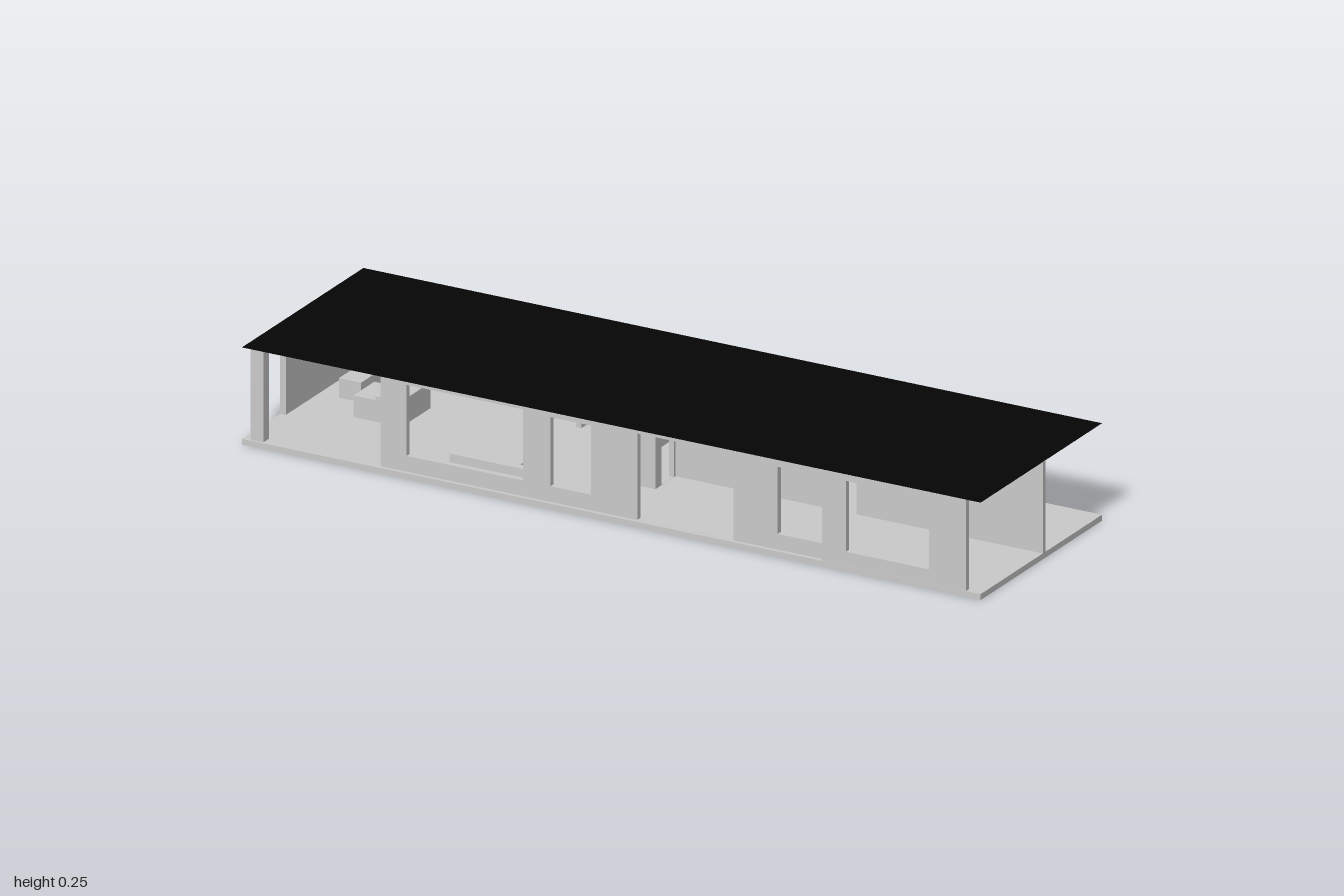
import * as THREE from 'three';

const FLOOR = 0.015, TOP = 0.247;
const grey = new THREE.MeshStandardMaterial({ color: 0xcccccc, flatShading: true });
const greyThin = new THREE.MeshStandardMaterial({ color: 0xcccccc, side: THREE.DoubleSide });
const black = new THREE.MeshStandardMaterial({ color: 0x050505 });

export function createModel() {
  const house = new THREE.Group();
  house.name = 'house';

  const add = (name, geometry, material = grey) => {
    const mesh = new THREE.Mesh(geometry, material);
    mesh.name = name;
    house.add(mesh);
    return mesh;
  };

  // Box given by its limits on each axis
  const box = (name, x0, x1, y0, y1, z0, z1) =>
    add(name, new THREE.BoxGeometry(x1 - x0, y1 - y0, z1 - z0))
      .position.set((x0 + x1) / 2, (y0 + y1) / 2, (z0 + z1) / 2);

  const rect = (path, x0, x1, y0, y1) =>
    path.moveTo(x0, y0).lineTo(x1, y0).lineTo(x1, y1).lineTo(x0, y1).closePath();

  // Wall along x with rectangular openings [x0, x1, y0, y1]
  const wall = (name, x0, x1, z0, z1, openings = []) => {
    const shape = rect(new THREE.Shape(), x0, x1, FLOOR, TOP - 0.001);
    for (const o of openings) shape.holes.push(rect(new THREE.Path(), ...o));
    add(name, new THREE.ExtrudeGeometry(shape, { depth: z1 - z0, bevelEnabled: false }))
      .position.z = z0;
  };

  // Wall along z with openings [z0, z1, y0, y1]
  const crossWall = (name, x0, x1, z0, z1, openings = []) => {
    const shape = rect(new THREE.Shape(), -z1, -z0, FLOOR, TOP - 0.001);
    for (const [a, b, c, d] of openings) shape.holes.push(rect(new THREE.Path(), -b, -a, c, d));
    const mesh = add(name, new THREE.ExtrudeGeometry(shape, { depth: x1 - x0, bevelEnabled: false }));
    mesh.rotation.y = Math.PI / 2;
    mesh.position.x = x0;
  };

  // Floor slab and thin roof
  box('floorSlab', -1, 1, 0, FLOOR, -0.29, 0.29);
  add('roofTop', new THREE.PlaneGeometry(2, 0.58).rotateX(-Math.PI / 2), black).position.y = TOP;
  add('roofUnderside', new THREE.PlaneGeometry(2, 0.58).rotateX(Math.PI / 2)).position.y = TOP - 0.0005;

  // Front walls: main run and the slightly projecting end bay
  wall('frontWall', -0.63, 0.575, 0.265, 0.28, [
    [-0.56, -0.245, 0.055, 0.235],
    [-0.17, -0.06, 0.055, 0.23],
    [0.065, 0.325, 0.0155, 0.235],
    [0.445, 0.568, 0.055, 0.225],
  ]);
  wall('frontBayWall', 0.57, 0.96, 0.275, 0.289, [[0.635, 0.86, 0.05, 0.23]]);

  // Back wall of the deep part, with windows and a door
  wall('backWall', -0.72, 0.005, -0.289, -0.275, [
    [-0.148, -0.03, 0.055, 0.23],
    [-0.36, -0.245, 0.0155, 0.235],
    [-0.56, -0.45, 0.055, 0.235],
    [-0.7, -0.64, 0.055, 0.23],
  ]);

  // Back wall of the shallow part, facing the rear terrace
  wall('terraceWall', 0, 1, -0.02, -0.007, [[0.445, 0.495, 0.0155, 0.19]]);
  box('terraceCupboard', 0.28, 0.41, FLOOR, TOP - 0.001, -0.08, -0.02);

  // End walls and bathroom partitions
  crossWall('leftEndWall', -1, -0.985, -0.289, 0.107);
  crossWall('terraceEndWall', -0.008, 0.005, -0.276, -0.02);
  crossWall('bathroomSideWall', -0.128, -0.115, -0.2, 0.09, [[0, 0.06, 0.0155, 0.185]]);
  wall('bathroomFrontWall', -0.125, 0, 0.075, 0.088);
  crossWall('bathroomEndWall', -0.008, 0.005, -0.01, 0.088, [[0, 0.06, 0.0155, 0.185]]);

  // Shallow curved wall at the back corner
  const curve = new THREE.QuadraticBezierCurve(
    new THREE.Vector2(-0.7, -0.28), new THREE.Vector2(-0.81, -0.285), new THREE.Vector2(-0.88, -0.235));
  const curved = new THREE.PlaneGeometry(1, TOP - FLOOR, 12, 1);
  const p = curved.attributes.position;
  for (let i = 0; i < p.count; i++) {
    const c = curve.getPoint(p.getX(i) + 0.5);
    p.setXYZ(i, c.x, p.getY(i) + (TOP + FLOOR) / 2, c.y);
  }
  curved.computeVertexNormals();
  add('curvedWall', curved, greyThin);

  // Corner post of the open porch
  box('porchPost', -0.98, -0.945, FLOOR, TOP - 0.001, 0.258, 0.284);

  // Furniture: bench below the front window, low units at the left end
  box('benchBack', -0.46, -0.26, FLOOR, 0.071, 0.23, 0.252);
  box('benchSeat', -0.44, -0.28, FLOOR, 0.071, 0.192, 0.23);
  box('lowUnit', -0.93, -0.87, FLOOR, 0.065, -0.16, -0.05);
  box('sideUnit', -0.84, -0.78, FLOOR, 0.07, -0.06, 0.04);
  box('tallUnit', -0.78, -0.71, FLOOR, 0.08, -0.1, 0.04);
  box('wallShelf', -0.26, -0.245, 0.09, 0.15, -0.1, 0.0);

  return house;
}
